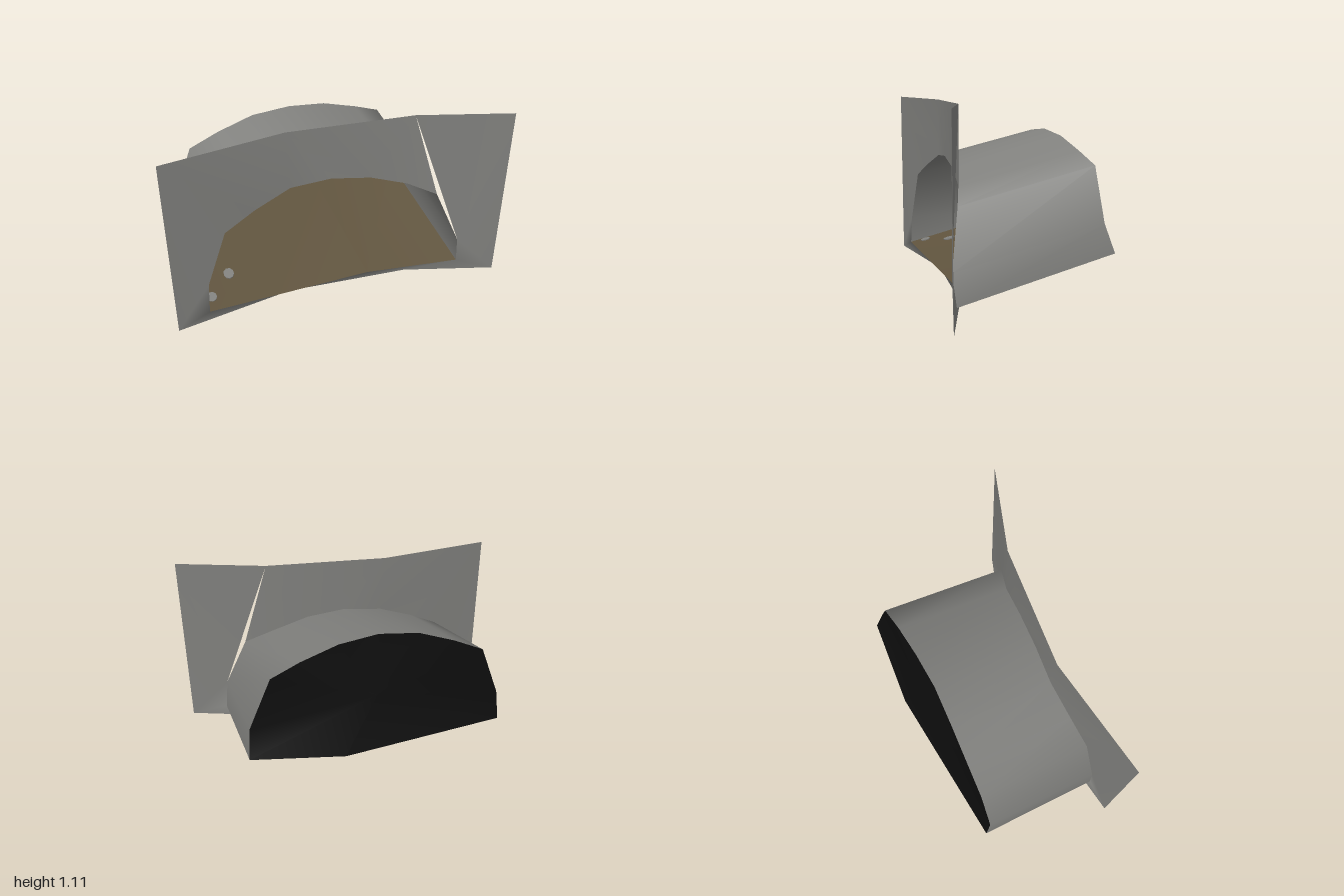
import * as THREE from 'three';

const material = (name, color) =>
  new THREE.MeshStandardMaterial({ name, color, side: THREE.DoubleSide });

// Rim of the opening, clockwise from the front: x, y, front z, back z
const RIM = [
  [-0.81, 0.07, 0.46, -0.31], [-0.8, 0.26, 0.45, -0.28], [-0.68, 0.58, 0.42, -0.29],
  [-0.5, 0.67, 0.38, -0.3], [-0.28, 0.755, 0.34, -0.31], [-0.04, 0.775, 0.342, -0.32],
  [0.2, 0.74, 0.345, -0.35], [0.43, 0.66, 0.35, -0.385], [0.61, 0.575, 0.39, -0.42],
  [0.75, 0.25, 0.45, -0.43], [0.77, 0.07, 0.43, -0.49], [0.2, 0.035, 0.345, -0.49],
];
const front = RIM.map(([x, y, z]) => [x, y, z]);
// The tunnel runs back while rising and drifting sideways
const back = RIM.map(([x, y, z, zb]) => [x - 0.11 * (z - zb), y + 0.228 * (z - zb), zb]);

function surface(name, points, index, mat) {
  const g = new THREE.BufferGeometry();
  g.setAttribute('position', new THREE.Float32BufferAttribute(points.flat(), 3));
  g.setIndex(index);
  g.computeVertexNormals();
  const mesh = new THREE.Mesh(g, mat);
  mesh.name = name;
  return mesh;
}

// Strip joining the front and back rims over the given rim indices
function strip(name, ids, mat) {
  const points = ids.flatMap((i) => [front[i], back[i]]);
  const index = [];
  for (let k = 0; k < ids.length - 1; k++) {
    const a = 2 * k;
    index.push(a, a + 2, a + 1, a + 1, a + 2, a + 3);
  }
  return surface(name, points, index, mat);
}

// Curved rock face: each outer point fans onto a run of rim points
function rockFace(mat) {
  const H = 1.11;
  const outer = [
    { p: [-1, 0, 0.49], rim: [0, 1] },
    { p: [-1, H, 0.49], rim: [1, 2, 3, 4] },
    { p: [-0.3, H, 0.335], rim: [4, 5, 6] },
    { p: [0.45, H, 0.35], rim: [6, 7, 8] }, // a narrow crack follows here
    { p: [1, H, 0.49], rim: [9] },
    { p: [1, 0, 0.49], rim: [9, 10] },
    { p: [0.45, 0, 0.35], rim: [10, 11] },
    { p: [-0.3, 0, 0.335], rim: [11, 0] },
  ];
  const n = RIM.length;
  const index = [];
  outer.forEach(({ rim }, i) => {
    const next = (i + 1) % outer.length;
    for (let k = 0; k < rim.length - 1; k++) index.push(n + i, rim[k + 1], rim[k]);
    index.push(n + i, n + next, outer[next].rim[0]);
  });
  // Reverse so the faces look toward +z
  for (let k = 0; k < index.length; k += 3) {
    [index[k + 1], index[k + 2]] = [index[k + 2], index[k + 1]];
  }
  return surface('rockFace', [...front, ...outer.map((o) => o.p)], index, mat);
}

// Dark end wall, fanned from its middle
function endWall(mat) {
  const index = [];
  back.forEach((_, i) => index.push(i, (i + 1) % back.length, back.length));
  return surface('endWall', [...back, [-0.1, 0.55, -0.37]], index, mat);
}

// Thin grey patch lying in the slope of the floor
function floorPatch(x, y, z, rx, rz, mat) {
  const g = new THREE.CylinderGeometry(1, 1, 0.008, 9);
  g.scale(rx, 1, rz);
  const mesh = new THREE.Mesh(g, mat);
  mesh.name = 'floorPatch';
  mesh.position.set(x, y, z);
  mesh.rotation.x = Math.atan(0.228);
  return mesh;
}

export function createModel() {
  const rock = material('grey rock', 0x80807d);
  const earth = material('brown earth', 0x5f533d);
  const dark = material('dark', 0x0d0d0d);

  const model = new THREE.Group();
  model.name = 'caveEntrance';
  model.add(
    rockFace(rock),
    strip('tunnelWalls', [0, 1, 2, 3, 4, 5, 6, 7, 8, 9, 10], rock),
    strip('tunnelFloor', [10, 11, 0], earth),
    endWall(dark),
    floorPatch(-0.78, 0.091, 0.36, 0.03, 0.035, rock),
    floorPatch(-0.65, 0.12, 0.21, 0.032, 0.04, rock),
  );
  return model;
}
